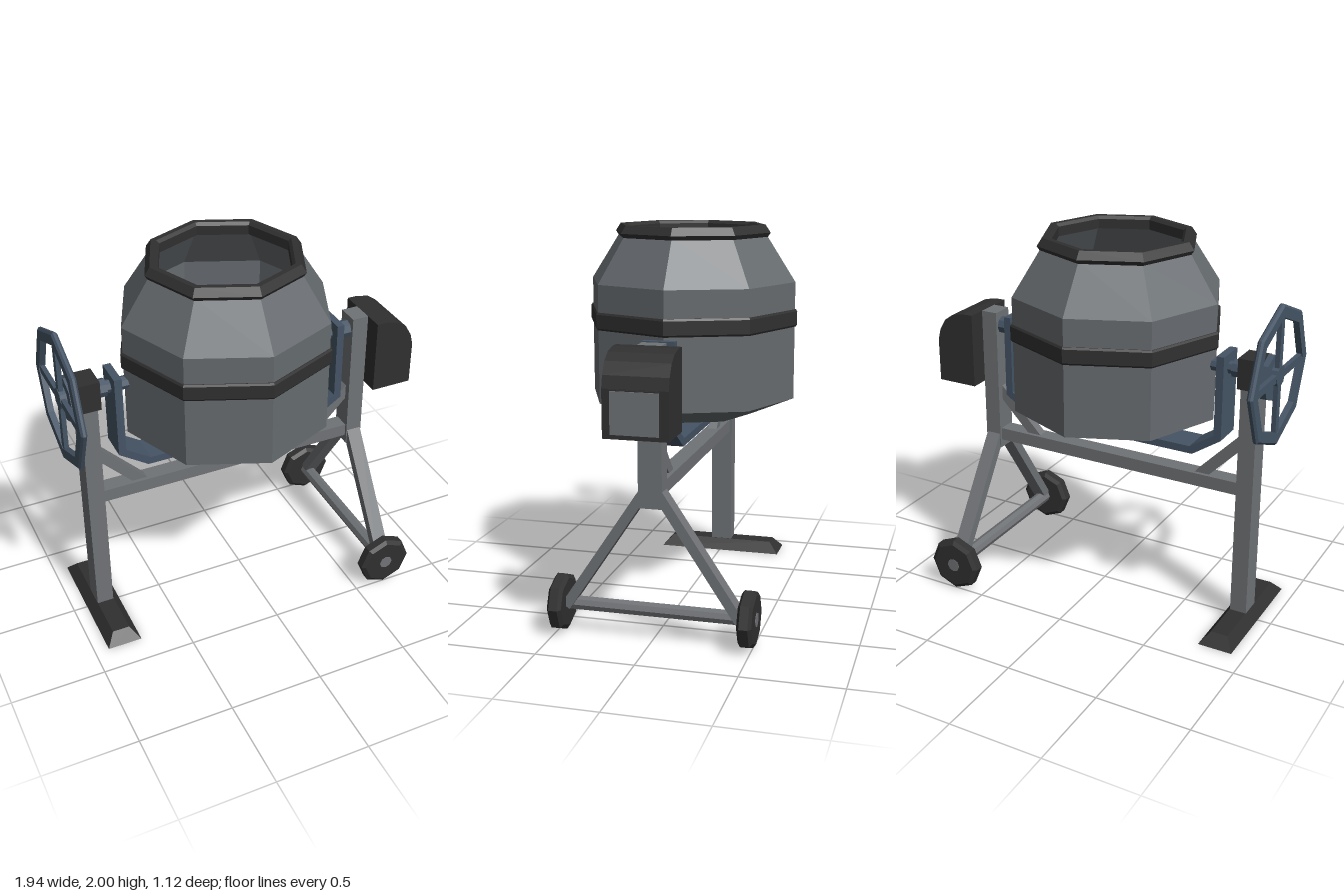
import * as THREE from 'three';

const mat = (name, color) => Object.assign(new THREE.MeshStandardMaterial({ color }), { name });

export function createModel() {
  const model = new THREE.Group();
  model.name = 'concreteMixer';
  const drumGrey = mat('drum grey', 0x666b6f);
  const frameGrey = mat('frame grey', 0x707376);
  const black = mat('rubber black', 0x303030);
  const blue = mat('steel blue', 0x455465);

  // Faceted mesh
  const add = (name, geo, material, x = 0, y = 0, z = 0) => {
    const g = geo.index ? geo.toNonIndexed() : geo;
    g.computeVertexNormals();
    const m = new THREE.Mesh(g, material);
    m.name = name;
    m.position.set(x, y, z);
    model.add(m);
    return m;
  };
  // Box from its limits
  const box = (name, material, x0, x1, y0, y1, z0, z1) =>
    add(name, new THREE.BoxGeometry(x1 - x0, y1 - y0, z1 - z0), material,
      (x0 + x1) / 2, (y0 + y1) / 2, (z0 + z1) / 2);
  // Bar between two points
  const bar = (name, material, a, b, w, d) => {
    const p = new THREE.Vector3(...a), q = new THREE.Vector3(...b);
    const m = add(name, new THREE.BoxGeometry(w, p.distanceTo(q), d), material);
    m.position.copy(p).add(q).multiplyScalar(0.5);
    m.quaternion.setFromUnitVectors(new THREE.Vector3(0, 1, 0), q.sub(p).normalize());
  };
  // Cylinder lying along x
  const rod = (name, material, x0, x1, r, y = 1.4) =>
    add(name, new THREE.CylinderGeometry(r, r, x1 - x0, 8).rotateZ(Math.PI / 2), material, (x0 + x1) / 2, y, 0);
  const lathe = (name, material, pts, x) =>
    add(name, new THREE.LatheGeometry(pts.map(p => new THREE.Vector2(...p)), 8), material, x);
  // Outline in xy extruded along z, centred
  const plate = (name, material, pts, depth) =>
    add(name, new THREE.ExtrudeGeometry(new THREE.Shape(pts.map(p => new THREE.Vector2(...p))),
      { depth, bevelEnabled: false }).translate(0, 0, -depth / 2), material);

  // Hollow drum, rim and middle band
  const cx = -0.075;
  lathe('drum', drumGrey, [[0, 1.005], [0.32, 1.005], [0.55, 1.1], [0.55, 1.71], [0.395, 1.95],
    [0.355, 1.95], [0.525, 1.7], [0.525, 1.12], [0.31, 1.03], [0, 1.03]], cx);
  lathe('drumRim', black, [[0.345, 1.935], [0.4, 1.935], [0.417, 1.96], [0.39, 2], [0.36, 2],
    [0.345, 1.985], [0.345, 1.935]], cx);
  lathe('drumBand', black, [[0.54, 1.48], [0.555, 1.48], [0.562, 1.49], [0.562, 1.56], [0.555, 1.57], [0.54, 1.57]], cx);
  add('drumPivot', new THREE.CylinderGeometry(0.045, 0.045, 0.07, 8), blue, cx, 0.98, 0);

  // Yoke under the drum
  plate('yoke', blue, [[-0.705, 1.475], [-0.705, 1.03], [-0.55, 0.925], [0.41, 0.925], [0.57, 1.03], [0.57, 1.475],
    [0.53, 1.475], [0.53, 1.05], [0.395, 0.965], [-0.535, 0.965], [-0.665, 1.05], [-0.665, 1.475]], 0.165);

  // Trunnions and collars
  rod('leftTrunnion', blue, 0.46, 0.65, 0.035);
  rod('leftCollar', blue, 0.59, 0.637, 0.048);
  rod('rightTrunnion', blue, -0.96, -0.61, 0.035);
  rod('rightCollar', blue, -0.775, -0.728, 0.048);

  // Posts, crossbar and corner struts
  box('rightPost', frameGrey, -0.88, -0.79, 0.05, 1.33, -0.06, 0.06);
  box('leftPost', frameGrey, 0.635, 0.725, 0.685, 1.48, -0.06, 0.06);
  box('crossbar', frameGrey, -0.8, 0.645, 0.73, 0.8, -0.045, 0.045);
  bar('rightStrut', frameGrey, [-0.81, 1.035, 0], [-0.55, 0.765, 0], 0.058, 0.05);
  bar('leftStrut', frameGrey, [0.66, 1.035, 0], [0.4, 0.765, 0], 0.058, 0.05);
  box('bearingBlock', black, -0.893, -0.773, 1.32, 1.48, -0.07, 0.07);

  // Tapered foot
  const foot = new THREE.BoxGeometry(0.185, 0.06, 0.71);
  const fp = foot.attributes.position;
  for (let i = 0; i < fp.count; i++) {
    if (fp.getY(i) > 0) fp.setXYZ(i, fp.getX(i) * 0.5, 0.03, fp.getZ(i) * 0.845);
  }
  add('foot', foot, black, -0.833, 0.03, 0);

  // Splayed legs, axle and wheels
  const wx = 0.668, wy = 0.15;
  for (const s of [1, -1]) {
    bar('wheelLeg', frameGrey, [0.68, 0.765, s * 0.033], [0.68, 0.145, s * 0.445], 0.08, 0.05);
    const wheel = new THREE.LatheGeometry([[0, -0.037], [0.125, -0.037], [0.147, -0.022], [0.147, 0.022],
      [0.125, 0.037], [0, 0.037]].map(p => new THREE.Vector2(...p)), 8).rotateX(Math.PI / 2);
    add('wheel', wheel, black, wx, wy, s * 0.48);
  }
  add('axle', new THREE.CylinderGeometry(0.037, 0.037, 1.04, 8).rotateX(Math.PI / 2), frameGrey, wx, wy, 0);

  // Motor housing with end panel
  plate('motorHousing', black, [[0.725, 1.075], [0.95, 1.075], [0.95, 1.31], [0.935, 1.37], [0.9, 1.43],
    [0.85, 1.465], [0.78, 1.48], [0.725, 1.48]], 0.32);
  box('panelFrame', black, 0.94, 0.963, 1.095, 1.308, -0.122, 0.122);
  box('motorPanel', frameGrey, 0.96, 0.969, 1.1, 1.303, -0.117, 0.117);

  // Tilting handwheel
  const hx = -0.955;
  add('handwheelRim', new THREE.LatheGeometry([[0.3, -0.016], [0.355, -0.016], [0.367, -0.006], [0.367, 0.006],
    [0.355, 0.016], [0.3, 0.016], [0.3, -0.016]].map(p => new THREE.Vector2(...p)), 8).rotateZ(Math.PI / 2),
  blue, hx, 1.4, 0);
  box('handwheelSpoke', blue, hx - 0.012, hx + 0.012, 1.08, 1.72, -0.02, 0.02);
  box('handwheelSpoke', blue, hx - 0.012, hx + 0.012, 1.38, 1.42, -0.32, 0.32);
  rod('handwheelHub', blue, -0.97, -0.92, 0.055);
  rod('handwheelDisc', blue, -0.935, -0.903, 0.12, 1.385);

  return model;
}
